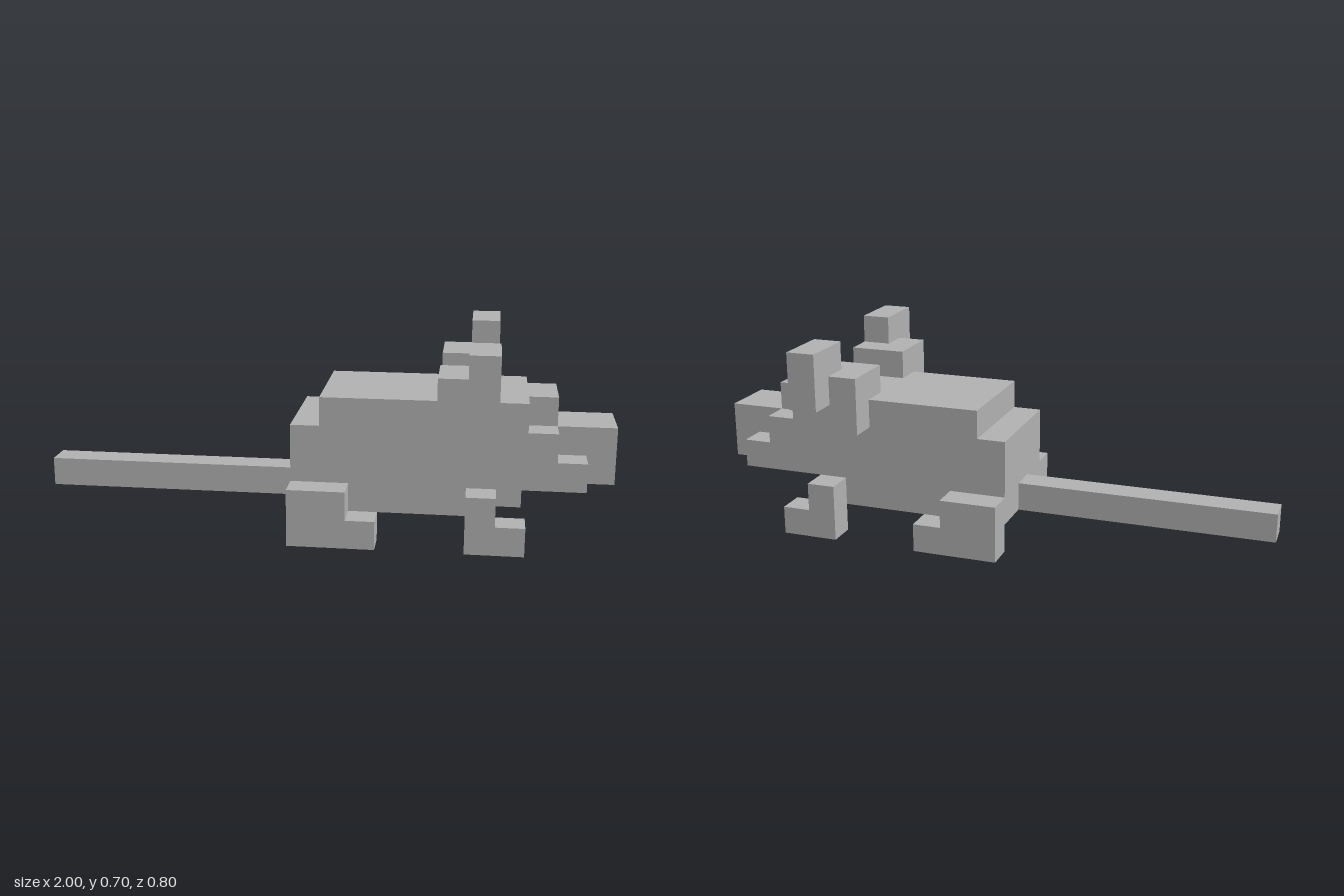
import * as THREE from 'three';

const grey = new THREE.MeshStandardMaterial({ color: 0xb0b0b0 });
grey.name = 'grey';

// Side profile (x, y) extruded from z0 to z1
function slab(name, points, z0, z1) {
  const shape = new THREE.Shape(points.map(([x, y]) => new THREE.Vector2(x, y)));
  const geo = new THREE.ExtrudeGeometry(shape, { depth: z1 - z0, bevelEnabled: false });
  geo.translate(0, 0, z0);
  const mesh = new THREE.Mesh(geo, grey);
  mesh.name = name;
  return mesh;
}

// Box given by its two opposite corners
function block(name, [x0, y0, z0], [x1, y1, z1]) {
  const mesh = new THREE.Mesh(new THREE.BoxGeometry(x1 - x0, y1 - y0, z1 - z0), grey);
  mesh.position.set((x0 + x1) / 2, (y0 + y1) / 2, (z0 + z1) / 2);
  mesh.name = name;
  return mesh;
}

export function createModel() {
  const model = new THREE.Group();
  model.name = 'blockMouse';

  // Stepped back, shared by the middle and the flanks
  const back = [[-0.1, 0.4], [-0.1, 0.1], [0.6, 0.1], [0.6, 0.2]];
  const rump = [[0, 0.5], [0, 0.4]];

  // Middle of body, with head and snout
  model.add(slab('bodyAndSnout',
    [...back, [1, 0.2], [1, 0.4], [0.8, 0.4], [0.8, 0.5], ...rump], -0.1, 0.1));

  // Tail
  model.add(block('tail', [-1, 0.1, -0.05], [-0.1, 0.2, 0.05]));

  for (const side of [1, -1]) {
    const name = side > 0 ? 'left' : 'right';
    const add = (part, points, a, b) =>
      model.add(slab(name + part, points, Math.min(a * side, b * side), Math.max(a * side, b * side)));

    // Flank with stepped brow, cheek and jaw
    add('Flank', [...back, [0.9, 0.2], [0.9, 0.3], [0.8, 0.3], [0.8, 0.4], [0.7, 0.4], [0.7, 0.5], ...rump], 0.1, 0.2);

    // Legs with feet pointing forward
    add('RearLeg', [[-0.1, 0], [0.2, 0], [0.2, 0.1], [0.1, 0.1], [0.1, 0.2], [-0.1, 0.2]], 0.2, 0.3);
    add('FrontLeg', [[0.5, 0], [0.7, 0], [0.7, 0.1], [0.6, 0.1], [0.6, 0.2], [0.5, 0.2]], 0.2, 0.3);

    // Ear: root on top of the head, overhang beside it, raised outer tip
    add('EarRoot', [[0.4, 0.5], [0.6, 0.5], [0.6, 0.6], [0.4, 0.6]], 0.1, 0.2);
    add('EarBase', [[0.4, 0.4], [0.6, 0.4], [0.6, 0.5], [0.5, 0.5], [0.5, 0.6], [0.4, 0.6]], 0.2, 0.3);
    add('EarTip', [[0.5, 0.5], [0.6, 0.5], [0.6, 0.7], [0.5, 0.7]], 0.2, 0.4);
  }
  return model;
}
